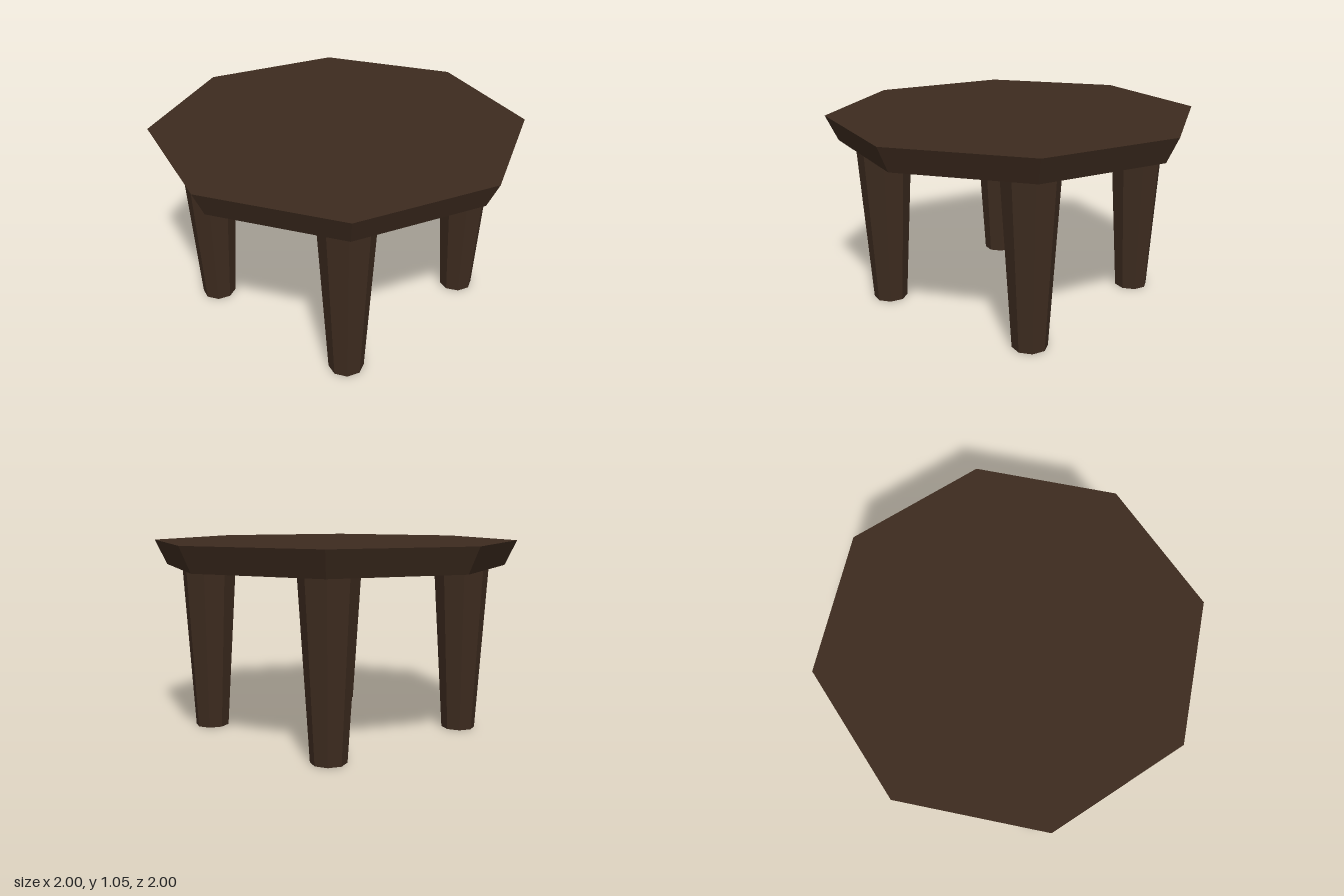
import * as THREE from 'three';

export function createModel() {
  const group = new THREE.Group();
  const darkWood = new THREE.MeshStandardMaterial({ color: 0x3d2b1f, flatShading: true });
  darkWood.name = 'darkWood';

  const sides = 8;
  const underside = 0.915, topHeight = 1.05;

  // Octagonal top, narrowing towards its underside
  const thickness = topHeight - underside;
  const top = new THREE.Mesh(new THREE.CylinderGeometry(1, 0.935, thickness, sides), darkWood);
  top.name = 'tableTop';
  top.position.y = underside + thickness / 2;
  group.add(top);

  // Four tapered octagonal legs
  const legGeometry = new THREE.CylinderGeometry(0.15, 0.092, underside, sides);
  for (const [x, xName] of [[0.495, 'Left'], [-0.495, 'Right']]) {
    for (const [z, zName] of [[0.495, 'front'], [-0.495, 'back']]) {
      const leg = new THREE.Mesh(legGeometry, darkWood);
      leg.name = `${zName}${xName}Leg`;
      leg.position.set(x, underside / 2, z);
      group.add(leg);
    }
  }

  return group;
}
